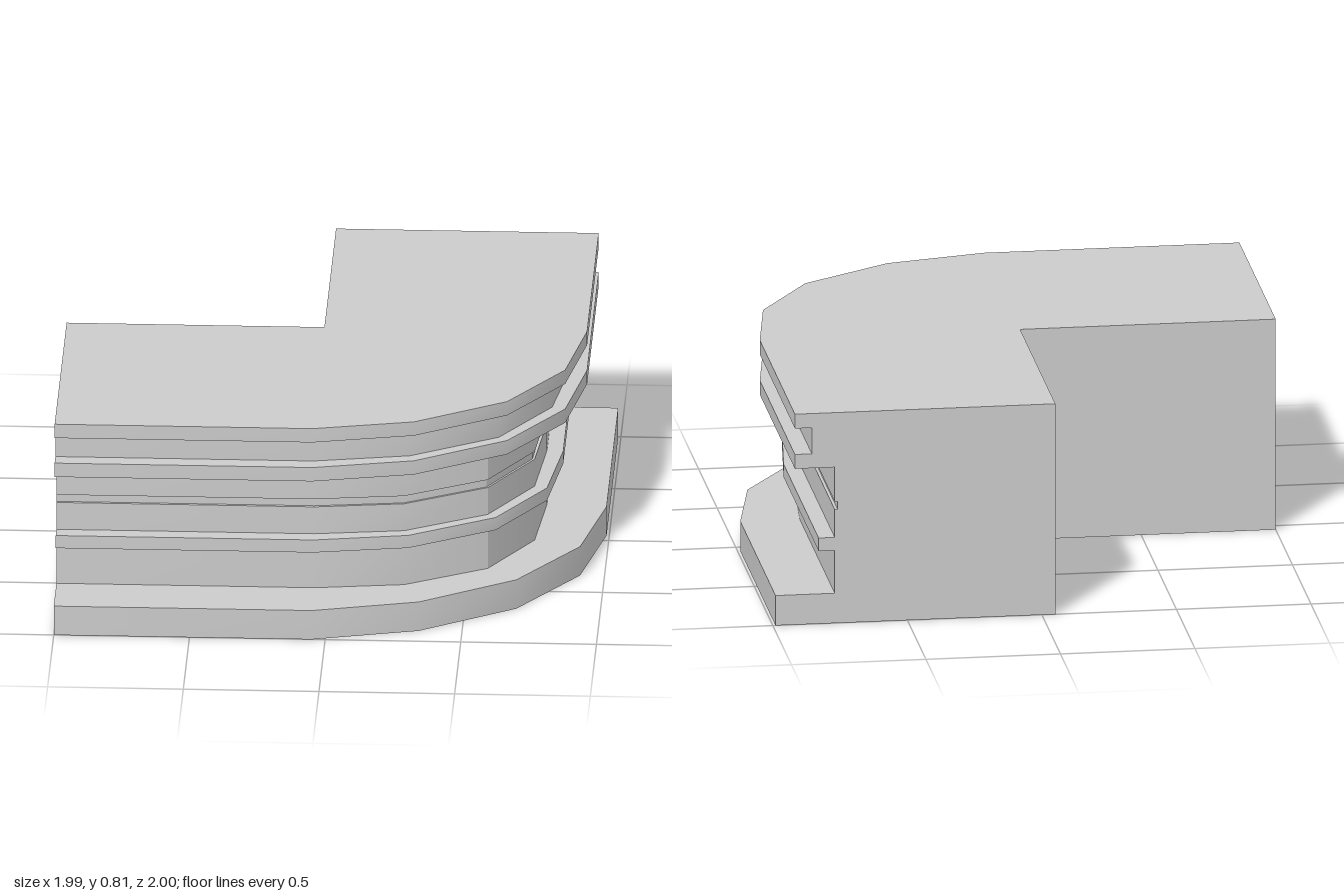
import * as THREE from 'three';
import { toCreasedNormals } from 'three/addons/utils/BufferGeometryUtils.js';

// Stations round the bend: [outer x, outer z, recessed x, recessed z, inner x, inner z]
const DEPTH = 0.22;
const STATIONS = [
  [-1, 1, -1, 0.78, -1, -0.05],
  [-0.05, 1, -0.05, 0.78, -0.05, -0.05],
  [0.34, 0.9, 0.28, 0.735, -0.05, -0.05],
  [0.69, 0.67, 0.58, 0.565, -0.05, -0.05],
  [0.91, 0.34, 0.74, 0.285, -0.05, -0.05],
  [0.99, -0.05, 0.77, -0.06, -0.05, -0.05],
  [0.99, -1, 0.77, -1, -0.05, -1],
];

// Moulding bands from bottom to top: [inset, lower y, upper y]
const BANDS = [
  [0, 0, 0.115],
  [0.22, 0.115, 0.28],
  [0.16, 0.28, 0.33],
  [0.22, 0.33, 0.437],
  [0.231, 0.437, 0.468],
  [0.22, 0.468, 0.6],
  [0.072, 0.6, 0.655],
  [0.135, 0.655, 0.755],
  [0.072, 0.755, 0.81],
];

// Closed cross-section at one station: inner foot, moulded face, inner top
function section([ox, oz, rx, rz, ix, iz]) {
  const at = (inset, y) => {
    const t = inset / DEPTH;
    return new THREE.Vector3(ox + (rx - ox) * t, y, oz + (rz - oz) * t);
  };
  const face = BANDS.flatMap(([inset, y0, y1]) => [at(inset, y0), at(inset, y1)]);
  return [new THREE.Vector3(ix, 0, iz), ...face, new THREE.Vector3(ix, 0.81, iz)];
}

function corniceGeometry() {
  const positions = [];
  const triangle = (a, b, c) => {
    if (a.distanceTo(b) < 1e-6 || b.distanceTo(c) < 1e-6 || c.distanceTo(a) < 1e-6) return;
    for (const p of [a, b, c]) positions.push(p.x, p.y, p.z);
  };
  const rings = STATIONS.map(section);
  const n = rings[0].length;

  // Skin between neighbouring sections
  for (let s = 0; s < rings.length - 1; s++) {
    for (let p = 0; p < n; p++) {
      const q = (p + 1) % n;
      const [a, b, c, d] = [rings[s][p], rings[s + 1][p], rings[s + 1][q], rings[s][q]];
      triangle(a, b, c);
      triangle(a, c, d);
    }
  }

  // Flat cut ends
  const first = rings[0], last = rings[rings.length - 1];
  const leftOutline = first.map((p) => new THREE.Vector2(p.z, p.y));
  for (const [i, j, k] of THREE.ShapeUtils.triangulateShape(leftOutline, [])) {
    triangle(first[i], first[j], first[k]);
  }
  const rightOutline = last.map((p) => new THREE.Vector2(p.x, p.y));
  for (const [i, j, k] of THREE.ShapeUtils.triangulateShape(rightOutline, [])) {
    triangle(last[i], last[k], last[j]);
  }

  const geometry = new THREE.BufferGeometry();
  geometry.setAttribute('position', new THREE.Float32BufferAttribute(positions, 3));
  return toCreasedNormals(geometry, Math.PI / 6);
}

export function createModel() {
  const group = new THREE.Group();
  group.name = 'cornerMoulding';
  const material = new THREE.MeshStandardMaterial({ color: 0xcccccc });
  const body = new THREE.Mesh(corniceGeometry(), material);
  body.name = 'mouldedCornerBlock';
  group.add(body);
  return group;
}
